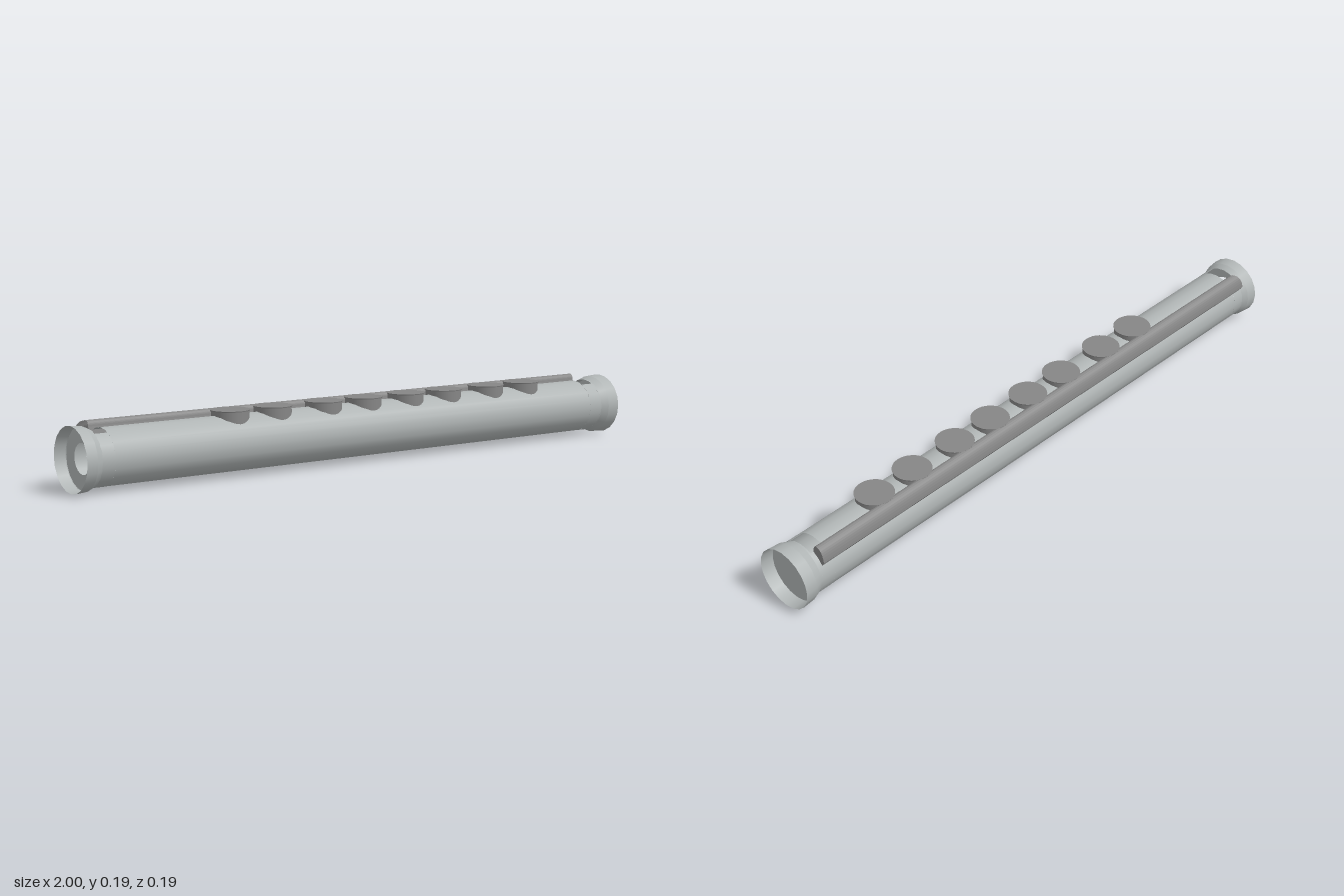
import * as THREE from 'three';

const AXIS_Y = 0.0965, TUBE_R = 0.0835, RIM_R = 0.0955, SIDES = 20;

export function createModel() {
  const group = new THREE.Group();
  const silver = new THREE.MeshStandardMaterial({ color: 0xb0b5b5, side: THREE.DoubleSide });
  silver.name = 'lightSilver';
  const grey = new THREE.MeshStandardMaterial({ color: 0x868686 });
  grey.name = 'darkGrey';

  const add = (name, geometry, material, x = 0, y = 0, z = 0) => {
    const mesh = new THREE.Mesh(geometry, material);
    mesh.name = name;
    mesh.position.set(x, y, z);
    group.add(mesh);
    return mesh;
  };

  // Open shell along x; gap is the half angle left open at the top
  const shell = (name, x0, x1, r0, r1, gap = 0) => {
    const g = new THREE.CylinderGeometry(r1, r0, x1 - x0, SIDES, 1, true,
      gap ? Math.PI * 1.5 + gap : 0, Math.PI * 2 - 2 * gap);
    g.rotateZ(-Math.PI / 2);
    add(name, g, silver, (x0 + x1) / 2, AXIS_Y);
  };

  // Main tube with a cut window near each end
  const gap = Math.asin(0.04 / TUBE_R);
  shell('tubeEndRight', -0.96, -0.95, TUBE_R, TUBE_R);
  shell('windowRight', -0.95, -0.905, TUBE_R, TUBE_R, gap);
  shell('tube', -0.905, 0.885, TUBE_R, TUBE_R);
  shell('windowLeft', 0.885, 0.93, TUBE_R, TUBE_R, gap);
  shell('tubeEndLeft', 0.93, 0.96, TUBE_R, TUBE_R);

  // Flared end collars
  shell('collarTaperRight', -0.965, -0.945, RIM_R - 0.003, TUBE_R);
  shell('collarRight', -1, -0.965, RIM_R, RIM_R - 0.003);
  shell('collarTaperLeft', 0.935, 0.96, TUBE_R, RIM_R - 0.003);
  shell('collarLeft', 0.96, 1, RIM_R - 0.003, RIM_R);

  // Recessed ends: one closed, one with a round bore
  const cap = new THREE.CircleGeometry(RIM_R - 0.004, SIDES).rotateY(Math.PI / 2);
  add('closedEnd', cap, silver, 0.96, AXIS_Y);
  const ring = new THREE.RingGeometry(0.045, RIM_R - 0.004, SIDES).rotateY(-Math.PI / 2);
  add('boredEnd', ring, silver, -0.963, AXIS_Y);

  // Round keys seated in the top of the tube
  for (const x of [-0.475, -0.325, -0.14, 0.01, 0.175, 0.325, 0.5, 0.65]) {
    add('keyBody', new THREE.CylinderGeometry(0.056, 0.056, 0.048, 32), grey, x, 0.169);
    add('keyCap', new THREE.CylinderGeometry(0.059, 0.058, 0.003, 32), grey, x, 0.1935);
  }

  // Rounded rail along the upper back shoulder
  const profile = new THREE.Shape();
  profile.moveTo(0.035, 0.15);
  profile.lineTo(0.041, 0.178);
  profile.quadraticCurveTo(0.043, 0.195, 0.055, 0.195);
  profile.quadraticCurveTo(0.078, 0.19, 0.081, 0.15);
  profile.lineTo(0.07, 0.135);
  const rail = new THREE.ExtrudeGeometry(profile, { depth: 1.85, bevelEnabled: false, curveSegments: 8 });
  rail.rotateY(-Math.PI / 2); // profile x becomes z, depth runs to -x
  rail.scale(-1, 1, -1);
  // Slant the far end so the outer edge reaches nearer the collar
  const p = rail.attributes.position;
  for (let i = 0; i < p.count; i++) {
    const atRight = p.getX(i) < 0.9;
    p.setX(i, atRight ? -0.92 - Math.max(0, -p.getZ(i) - 0.05) * 0.8 : 0.92);
  }
  // The depth direction is normalised by rule: start of the sweep sits at -x
  rail.computeVertexNormals();
  add('rail', rail, grey);

  return group;
}
